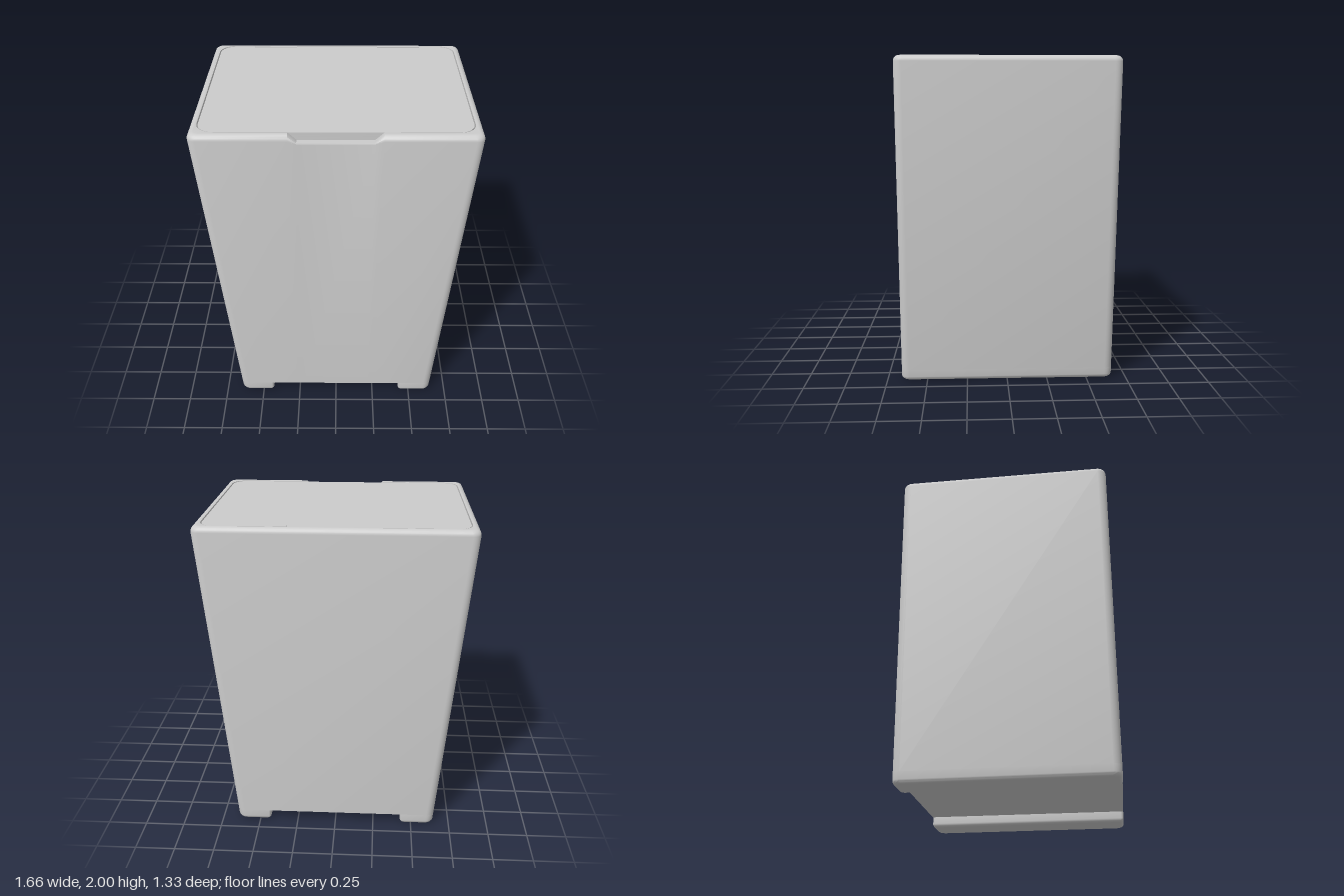
import * as THREE from 'three';
import { toCreasedNormals } from 'three/addons/utils/BufferGeometryUtils.js';

const material = new THREE.MeshStandardMaterial({ color: 0xcccccc });
const NOTCH_IN = 0.22, NOTCH_OUT = 0.27, NOTCH_Y = 1.95;

// Half width of the tapered wall at a given height
const halfWidth = (y) => 0.645 + 0.095 * y;

// Rounded rectangle at height y; r rounds the +x corners, rl the -x corners
function ring(y, x0, x1, z0, z1, r, rl = r, frontXs = []) {
  const pts = [];
  const corners = [[x1 - r, z1 - r, r], [x0 + rl, z1 - rl, rl], [x0 + rl, z0 + rl, rl], [x1 - r, z0 + r, r]];
  corners.forEach(([cx, cz, rad], k) => {
    for (let i = 0; i <= 6; i++) {
      const a = (k + i / 6) * Math.PI / 2;
      pts.push(new THREE.Vector3(cx + rad * Math.cos(a), y, cz + rad * Math.sin(a)));
    }
    if (k === 0) frontXs.forEach((x) => pts.push(new THREE.Vector3(x, y, z1)));
  });
  return pts;
}

// Skin joining successive rings, closed at both ends
function loft(rings) {
  const pos = [];
  const tri = (...vs) => vs.forEach((v) => pos.push(v.x, v.y, v.z));
  const n = rings[0].length;
  const centre = (pts) => new THREE.Box3().setFromPoints(pts).getCenter(new THREE.Vector3());
  const first = rings[0], last = rings[rings.length - 1];
  const c0 = centre(first), c1 = centre(last);
  for (let j = 0; j < n; j++) {
    const k = (j + 1) % n;
    tri(c0, first[j], first[k]);
    tri(c1, last[k], last[j]);
    for (let i = 0; i < rings.length - 1; i++) {
      const a = rings[i], b = rings[i + 1];
      tri(a[j], b[j], a[k]);
      tri(a[k], b[j], b[k]);
    }
  }
  const geo = new THREE.BufferGeometry();
  geo.setAttribute('position', new THREE.Float32BufferAttribute(pos, 3));
  return toCreasedNormals(geo, 0.6);
}

function part(name, geometry) {
  const mesh = new THREE.Mesh(geometry, material);
  mesh.name = name;
  return mesh;
}

// Hollow tapered container with a rounded rim and a finger notch in front
function makeBody() {
  const xs = [NOTCH_OUT, NOTCH_IN, -NOTCH_IN, -NOTCH_OUT];
  const rings = [];
  const add = (y, w, z0, z1, r) => rings.push(ring(y, -w, w, z0, z1, r, r, xs));
  add(0.07, halfWidth(0.07), -0.663, 0.663, 0.05);
  const R = 0.035;
  for (let i = 0; i <= 6; i++) {
    const a = i / 6 * Math.PI / 2;
    const y = 2 - R + R * Math.sin(a), inset = R * (1 - Math.cos(a));
    add(y - 0.002, halfWidth(2 - R) - inset, -0.663 + inset, 0.663 - inset, 0.05 - inset * 0.5);
  }
  add(1.996, 0.79, -0.627, 0.612, 0.1);
  add(1.9, 0.785, -0.627, 0.612, 0.1);
  add(0.12, 0.61, -0.62, 0.61, 0.1);
  // Lower the front rim to form the notch
  rings.flat().forEach((p) => {
    if (p.z < 0.5) return;
    const t = (Math.abs(p.x) - NOTCH_IN) / (NOTCH_OUT - NOTCH_IN);
    p.y = Math.min(p.y, NOTCH_Y + 0.05 * THREE.MathUtils.clamp(t, 0, 1));
  });
  return part('body', loft(rings));
}

// Flat lid with a thin lip, set inside the rim
function makeLid() {
  const layer = (y, d) => ring(y, -0.783 + d, 0.783 - d, -0.621 + d, 0.606 - d, 0.095);
  return part('lid', loft([
    layer(1.925, 0.014), layer(1.962, 0.014), layer(1.962, 0.007),
    layer(1.978, 0.007), layer(1.978, 0), layer(1.994, 0),
  ]));
}

// Runner along one side of the base with a rounded lower edge
function makeFoot() {
  const rings = [];
  const R = 0.025;
  for (let i = 0; i <= 5; i++) {
    const a = i / 5 * Math.PI / 2;
    const y = R * (1 - Math.cos(a)), d = R * (1 - Math.sin(a));
    rings.push(ring(y, 0.428 + d, halfWidth(y) - d, -0.663 + d, 0.663 - d, 0.05 - d * 0.5, 0.02));
  }
  rings.push(ring(0.07, 0.428, halfWidth(0.07), -0.663, 0.663, 0.05, 0.02));
  return loft(rings);
}

export function createModel() {
  const model = new THREE.Group();
  model.name = 'bin';
  model.add(makeBody(), makeLid());

  const footGeometry = makeFoot();
  for (const side of [1, -1]) {
    const label = side > 0 ? 'left' : 'right';
    const foot = part(label + 'Foot', footGeometry);
    if (side < 0) foot.rotation.y = Math.PI;
    model.add(foot);

    // Hinge strip along the back edge of the lid
    const hinge = part(label + 'Hinge', new THREE.BoxGeometry(0.285, 0.05, 0.024));
    hinge.position.set(side * 0.4175, 1.975, -0.618);
    model.add(hinge);
  }
  return model;
}
